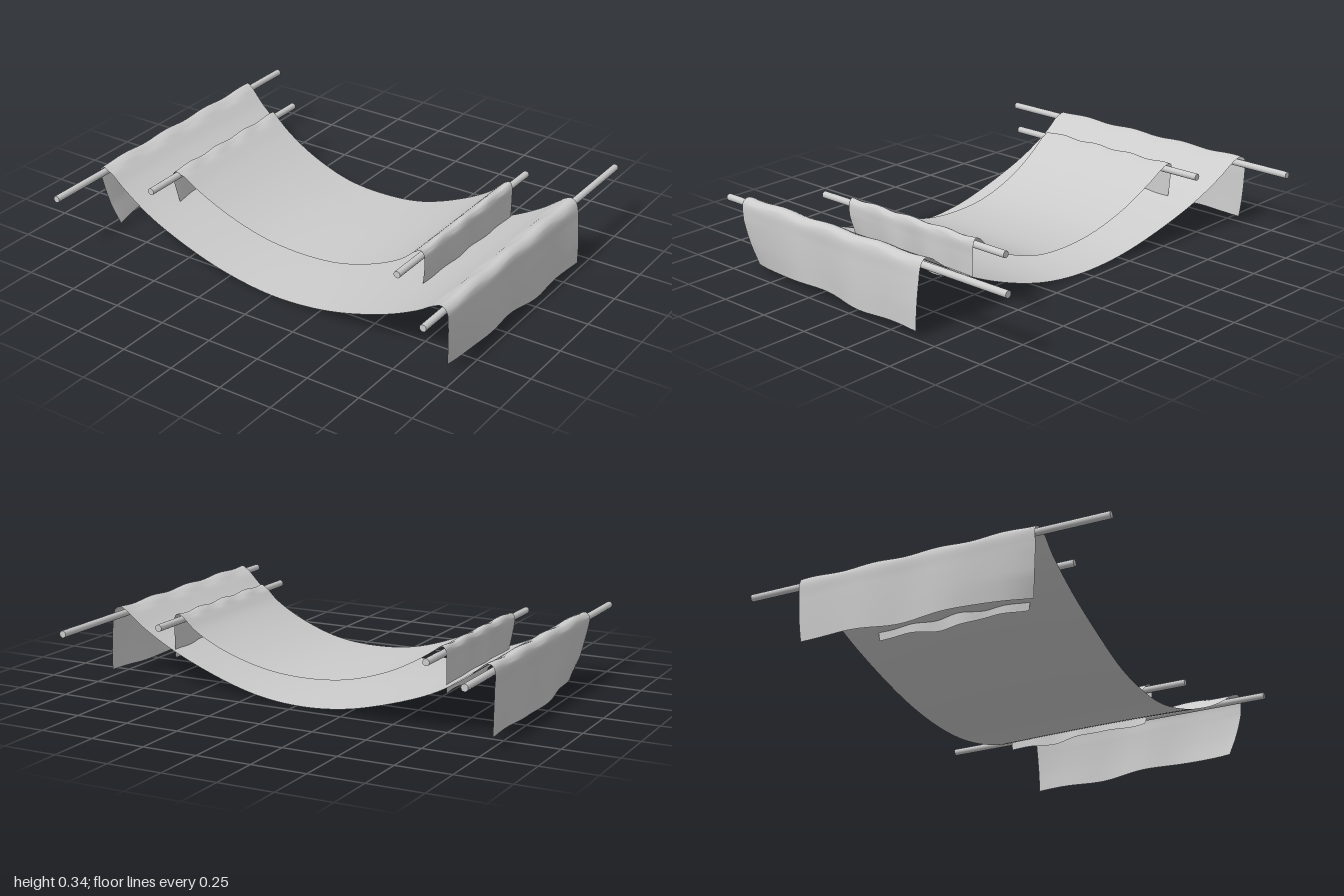
import * as THREE from 'three';

const material = new THREE.MeshStandardMaterial({ color: 0xcccccc, side: THREE.DoubleSide });

// Cloth lofted between a back and a front edge curve.
// Each row: x, y, back z, front z, [inward/outward x shift at back edge, at front edge]
function cloth(name, rows, { rodY, sagY, ripple, sag, waves }) {
  const edge = (k) => new THREE.CatmullRomCurve3(rows.map((r) => new THREE.Vector3(r[0], r[1], r[k])));
  const back = edge(2), front = edge(3);
  const shift = (k, u) => {
    const s = u * (rows.length - 1), i = Math.min(Math.floor(s), rows.length - 2);
    return THREE.MathUtils.lerp(rows[i][k] || 0, rows[i + 1][k] || 0, s - i);
  };
  const nu = (rows.length - 1) * 6, nv = 48;
  const pos = [], index = [];
  for (let i = 0; i <= nu; i++) {
    const u = i / nu, a = back.getPoint(u), b = front.getPoint(u);
    const flap = i < nu / 2 ? Math.max(0, 1 - u * (rows.length - 1) / 3)
      : Math.max(0, 1 - (1 - u) * (rows.length - 1) / 3);
    const phase = i < nu / 2 ? 0.6 : 2.1;
    for (let j = 0; j <= nv; j++) {
      const v = j / nv, p = a.clone().lerp(b, v);
      // flared corners and soft ripples on the hanging ends
      p.x += shift(4, u) * (1 - v) ** 4 + shift(5, u) * v ** 5;
      p.x += ripple * flap * Math.sin(v * waves + phase) * Math.sin(v * Math.PI);
      p.y += 0.012 * flap * Math.sin(v * 9 + phase) * Math.sin(v * Math.PI);
      // slight crown along the middle of the sagging part
      const low = THREE.MathUtils.clamp((rodY - p.y) / (rodY - sagY), 0, 1);
      p.y += sag * low * (1 - flap) * Math.sin(v * Math.PI);
      // small bumps where the cloth lies on the rods
      if (p.y > rodY + 0.01) p.y += 0.004 * Math.sin(v * 23 + phase);
      pos.push(p.x, p.y, p.z);
      if (i < nu && j < nv) {
        const n = i * (nv + 1) + j, m = n + nv + 1;
        index.push(n, n + 1, m, n + 1, m + 1, m);
      }
    }
  }
  const g = new THREE.BufferGeometry();
  g.setAttribute('position', new THREE.Float32BufferAttribute(pos, 3));
  g.setIndex(index);
  g.computeVertexNormals();
  const mesh = new THREE.Mesh(g, material);
  mesh.name = name;
  return mesh;
}

function rod(name, x, z0, z1) {
  const mesh = new THREE.Mesh(new THREE.CylinderGeometry(0.016, 0.016, z1 - z0, 16), material);
  mesh.rotation.x = Math.PI / 2;
  mesh.position.set(x, 0.305, (z0 + z1) / 2);
  mesh.name = name;
  return mesh;
}

export function createModel() {
  const group = new THREE.Group();
  group.name = 'hangingCloths';

  // four support rods
  group.add(
    rod('outerRodRight', -0.972, -0.84, 0.83),
    rod('outerRodLeft', 0.935, -0.84, 0.83),
    rod('innerRodRight', -0.672, -0.55, 0.54),
    rod('innerRodLeft', 0.63, -0.55, 0.54),
  );

  // large lower cloth
  group.add(cloth('largeCloth', [
    [-0.985, 0.035, -0.575, 0.47, 0, 0.06],
    [-0.99, 0.13, -0.585, 0.49, 0, 0.03],
    [-0.994, 0.24, -0.59, 0.505, 0, 0.01],
    [-0.994, 0.315, -0.59, 0.51],
    [-0.973, 0.337, -0.585, 0.513],
    [-0.93, 0.322, -0.572, 0.517],
    [-0.85, 0.26, -0.552, 0.52],
    [-0.68, 0.163, -0.52, 0.532],
    [-0.4, 0.064, -0.48, 0.545],
    [-0.2, 0.019, -0.455, 0.55],
    [0, 0.004, -0.435, 0.56],
    [0.2, 0.019, -0.418, 0.57],
    [0.4, 0.068, -0.405, 0.592],
    [0.64, 0.162, -0.4, 0.625],
    [0.8, 0.25, -0.4, 0.655],
    [0.9, 0.322, -0.4, 0.685],
    [0.94, 0.338, -0.4, 0.695],
    [0.966, 0.32, -0.4, 0.7],
    [0.972, 0.24, -0.397, 0.695, 0.01, 0],
    [0.974, 0.13, -0.393, 0.67, 0.018, -0.015],
    [0.972, 0.035, -0.39, 0.64, 0.022, -0.032],
  ], { rodY: 0.305, sagY: 0.01, ripple: 0.008, sag: 0.016, waves: 17 }));

  // small upper cloth
  group.add(cloth('smallCloth', [
    [-0.685, 0.13, -0.37, 0.33, 0, 0.015],
    [-0.688, 0.2, -0.38, 0.345, 0, 0.008],
    [-0.69, 0.27, -0.385, 0.355],
    [-0.69, 0.315, -0.39, 0.36],
    [-0.675, 0.333, -0.39, 0.36],
    [-0.645, 0.322, -0.38, 0.357],
    [-0.55, 0.26, -0.365, 0.35],
    [-0.4, 0.184, -0.353, 0.341],
    [-0.2, 0.123, -0.343, 0.336],
    [0, 0.106, -0.345, 0.336],
    [0.2, 0.124, -0.352, 0.339],
    [0.4, 0.189, -0.372, 0.347],
    [0.54, 0.264, -0.382, 0.354],
    [0.605, 0.32, -0.386, 0.358],
    [0.635, 0.333, -0.388, 0.36],
    [0.65, 0.315, -0.388, 0.36],
    [0.652, 0.26, -0.386, 0.358],
    [0.65, 0.19, -0.383, 0.345, 0.003, -0.01],
    [0.645, 0.13, -0.38, 0.33, 0.008, -0.02],
  ], { rodY: 0.305, sagY: 0.11, ripple: 0.01, sag: 0.004, waves: 19 }));

  return group;
}
